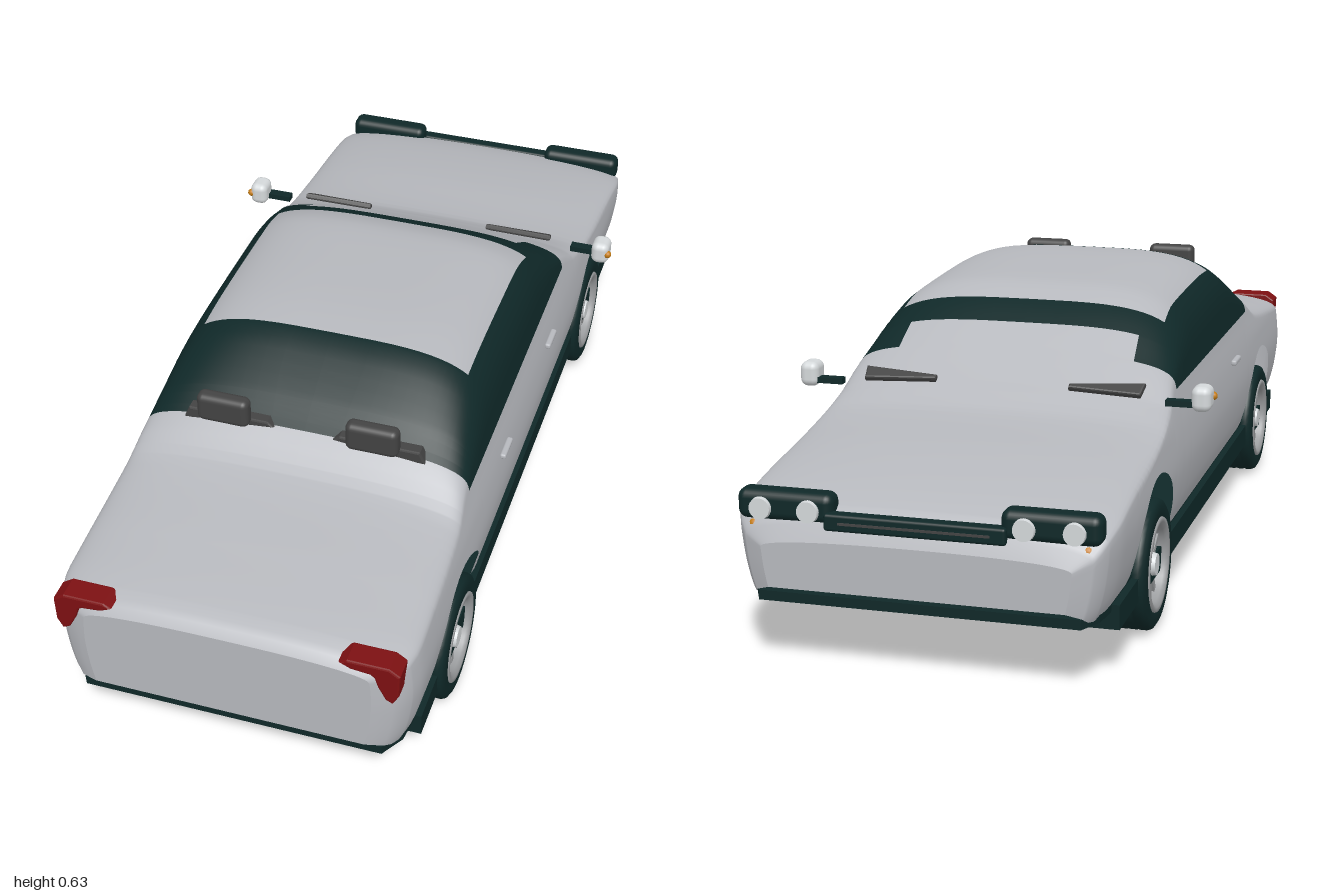
import * as THREE from 'three';
import { RoundedBoxGeometry } from 'three/addons/geometries/RoundedBoxGeometry.js';

const mat = (name, color, side = THREE.FrontSide) =>
  Object.assign(new THREE.MeshStandardMaterial({ color, side }), { name });

// Monotone cubic curve through [z, value] points
function curve(pts) {
  const n = pts.length;
  const sl = pts.slice(1).map((p, i) => (p[1] - pts[i][1]) / (p[0] - pts[i][0]));
  const tan = pts.map((_, i) => {
    if (i === 0) return sl[0];
    if (i === n - 1) return sl[n - 2];
    const a = sl[i - 1], b = sl[i];
    return a * b <= 0 ? 0 : (2 * a * b) / (a + b);
  });
  return (z) => {
    if (z <= pts[0][0]) return pts[0][1];
    if (z >= pts[n - 1][0]) return pts[n - 1][1];
    let i = 0;
    while (z > pts[i + 1][0]) i++;
    const h = pts[i + 1][0] - pts[i][0], t = (z - pts[i][0]) / h, u = 1 - t;
    return (1 + 2 * t) * u * u * pts[i][1] + t * u * u * h * tan[i]
      + t * t * (3 - 2 * t) * pts[i + 1][1] - t * t * u * h * tan[i + 1];
  };
}

const WHEELS = [0.63, -0.58], ARCH = 0.175;
const top = curve([[-1, .27], [-.985, .305], [-.95, .333], [-.85, .362], [-.7, .387], [-.5, .408], [-.42, .445],
  [-.32, .505], [-.25, .55], [-.18, .588], [-.1, .615], [0, .622], [.2, .628], [.31, .622], [.42, .572],
  [.51, .51], [.6, .455], [.8, .425], [.95, .402], [.985, .39], [1, .372]]);
const belt = curve([[-1, .25], [-.95, .3], [-.85, .325], [-.6, .36], [-.42, .4], [-.32, .44], [.51, .44],
  [.62, .4], [.85, .37], [.95, .36], [1, .345]]);
const base = curve([[-1, .17], [-.96, .145], [-.87, .15], [.87, .15], [.95, .15], [1, .17]]);
const width = curve([[-1, .31], [-.985, .345], [-.95, .368], [-.88, .378], [-.5, .38], [.5, .38], [.9, .378],
  [.95, .368], [.985, .34], [1, .3]]);
const flank = curve([[.13, .9], [.17, .95], [.23, .985], [.29, 1], [.36, .985], [.44, .94]]);
const power = curve([[-.42, 2.4], [-.2, 3.6], [.35, 3.6], [.6, 2.5]]);
const roofEdge = curve([[-.25, .27], [-.18, .315]]);

const NA = 10, NB = 8, NC = 10, HALF = NA + NB + NC;

// Body cross-section from the left sill, over the top, to the right sill
function section(z) {
  let yb = base(z);
  for (const c of WHEELS) {
    const d = ARCH * ARCH - (z - c) ** 2;
    if (d > 0) yb = Math.max(yb, 0.15 + Math.sqrt(d));
  }
  const W = width(z), ym = belt(z), h = top(z) - ym, xb = W * flank(ym), n = power(z);
  const lean = 0.08 * Math.min(1, h / 0.18);
  const split = Math.acos(Math.min(roofEdge(z) / xb, 0.89) ** (n / 2));
  const half = [];
  for (let i = 0; i < NA; i++) {
    const y = yb + (ym - yb) * i / NA;
    half.push([W * flank(y), y]);
  }
  for (let i = 0; i <= NB + NC; i++) {
    const a = i <= NB ? split * i / NB : split + (Math.PI / 2 - split) * (i - NB) / NC;
    const s = Math.sin(a) ** (2 / n);
    half.push([xb * Math.max(0, Math.cos(a)) ** (2 / n) * (1 - lean * s), ym + h * s]);
  }
  return [...half, ...half.slice(0, -1).reverse().map(([x, y]) => [-x, y])].map(([x, y]) => [x, y, z]);
}

function bufferFrom(verts, index) {
  const g = new THREE.BufferGeometry();
  g.setAttribute('position', new THREE.Float32BufferAttribute(verts.flat(), 3));
  g.setIndex(index);
  g.computeVertexNormals();
  return g;
}

// Body shell; group 0 is paint, group 1 is glass
function shellGeometry() {
  const want = [-1, 1, -.32, -.25, -.18, .31, .51, -.985, .985, -.97, .97, -.95, .95];
  for (const c of WHEELS) for (let i = 0; i <= 28; i++) want.push(c - ARCH * Math.cos(Math.PI * i / 28));
  for (let z = -0.98; z < 1; z += 0.025) want.push(z);
  const zs = [];
  for (const z of want) if (zs.every((q) => Math.abs(q - z) > 0.0009)) zs.push(z);
  zs.sort((a, b) => a - b);
  const verts = zs.flatMap(section), N = 2 * HALF + 1, paint = [], glass = [];
  for (let s = 0; s < zs.length - 1; s++) for (let i = 0; i < N - 1; i++) {
    const z = (zs[s] + zs[s + 1]) / 2, k = Math.min(i, N - 2 - i);
    const side = k >= NA && k < NA + NB, roof = k >= NA + NB;
    const dark = z > -.32 && z < .51 && (side || (roof && (z > .31 || (z > -.25 && z < -.18))));
    const a = s * N + i, c = a + N;
    (dark ? glass : paint).push(a, a + 1, c, a + 1, c + 1, c);
  }
  const g = bufferFrom(verts, [...paint, ...glass]);
  g.addGroup(0, paint.length, 0);
  g.addGroup(paint.length, glass.length, 1);
  return g;
}

// Flat panel closing one end of the shell
function endGeometry(z) {
  const p = section(z), L = p.length - 1, idx = [];
  for (let i = 0; i < HALF; i++) {
    const a = i, b = i + 1, c = L - i, d = L - i - 1;
    idx.push(...(z > 0 ? [a, b, c, b, d, c] : [a, c, b, b, c, d]));
  }
  return bufferFrom(p, idx);
}

export function createModel() {
  const car = new THREE.Group();
  car.name = 'car';
  const paint = mat('silver paint', 0xb6b8bd, THREE.DoubleSide);
  const dark = mat('dark glass and rubber', 0x0f2828, THREE.DoubleSide);
  const red = mat('red lens', 0x7d1012), amber = mat('amber lens', 0xc47c14);
  const grey = mat('dark grey trim', 0x434343), lens = mat('lamp white', 0xd4d8da);
  const metal = mat('wheel metal', 0x9c9ea0), shade = mat('wheel shade', 0x55585a);

  const add = (name, geo, m, x = 0, y = 0, z = 0, parent = car) => {
    const mesh = new THREE.Mesh(geo, m);
    mesh.name = name;
    mesh.position.set(x, y, z);
    parent.add(mesh);
    return mesh;
  };
  const rbox = (w, h, d, r) => new RoundedBoxGeometry(w, h, d, 3, r);
  const plate = (pts, s, depth) => new THREE.ExtrudeGeometry(
    new THREE.Shape(pts.map(([x, y]) => new THREE.Vector2(s * x, y))),
    { depth, bevelEnabled: true, bevelSize: 0.004, bevelThickness: 0.004, bevelSegments: 2 });

  // Body, ends and floor
  add('bodyShell', shellGeometry(), [paint, dark]);
  add('tailPanel', endGeometry(1), paint);
  add('nosePanel', endGeometry(-1), paint);
  add('floor', new THREE.BoxGeometry(0.735, 0.05, 1.75), dark, 0, 0.125, 0.005);
  const under = [];
  for (let i = 0; i <= 40; i++) {
    const z = -0.985 + 1.97 * i / 40;
    under.push(new THREE.Vector2(width(z) * 0.93, z));
  }
  const outline = new THREE.Shape([...under, ...under.map((p) => new THREE.Vector2(-p.x, p.y)).reverse()]);
  add('underside', new THREE.ExtrudeGeometry(outline, { depth: 0.02, bevelEnabled: false }).rotateX(Math.PI / 2),
    dark, 0, 0.157, 0);
  add('rearSeatBase', rbox(0.4, 0.035, 0.1, 0.012), grey, 0, 0.262, 0.51).rotation.x = -0.5;

  // Wheels
  const tyre = [[.09, -.05], [.122, -.05], [.132, -.044], [.135, -.036]];
  for (const y of [-.02, 0, .02]) tyre.push([.135, y - .004], [.129, y - .003], [.129, y + .003], [.135, y + .004]);
  tyre.push([.135, .036], [.132, .044], [.122, .05], [.1, .05], [.094, .044]);
  const lathe = (pts) => new THREE.LatheGeometry(pts.map(([x, y]) => new THREE.Vector2(x, y)), 40);
  for (const z of WHEELS) for (const s of [1, -1]) {
    const wheel = new THREE.Group();
    wheel.name = 'wheel';
    add('tyre', lathe(tyre), dark, 0, 0, 0, wheel);
    add('rim', lathe([[.1, .044], [.097, .052], [.088, .052], [.08, .044], [.077, .02]]), metal, 0, 0, 0, wheel);
    add('rimDish', new THREE.CylinderGeometry(0.09, 0.09, 0.06, 32), shade, 0, -0.008, 0, wheel);
    for (let i = 0; i < 12; i++) {
      const a = i * Math.PI / 6;
      add('spoke', new THREE.BoxGeometry(0.056, 0.012, 0.013), metal,
        0.05 * Math.cos(a), 0.028, -0.05 * Math.sin(a), wheel).rotation.y = a;
    }
    add('hub', new THREE.CylinderGeometry(0.022, 0.028, 0.025, 20), lens, 0, 0.034, 0, wheel);
    wheel.rotation.z = -s * Math.PI / 2;
    wheel.position.set(s * 0.33, 0.137, z);
    car.add(wheel);
  }

  // Grille between the headlights
  add('grille', rbox(0.36, 0.034, 0.03, 0.006), dark, 0, 0.308, -0.983);
  add('grilleBar', new THREE.BoxGeometry(0.3, 0.005, 0.004), grey, 0, 0.308, -0.998);

  for (const s of [1, -1]) {
    // Headlights and indicators
    add('headlightHousing', rbox(0.195, 0.06, 0.052, 0.018), dark, s * 0.263, 0.328, -0.962);
    for (const x of [0.213, 0.31]) {
      add('headlight', new THREE.CylinderGeometry(0.021, 0.024, 0.02, 24).rotateX(-Math.PI / 2),
        lens, s * x, 0.324, -0.986);
    }
    add('indicator', new THREE.SphereGeometry(0.016, 16, 12), amber, s * 0.33, 0.283, -0.965);

    // Tail lights wrapping the rear corners
    add('tailLight', plate([[.24, .388], [.252, .393], [.335, .393], [.354, .38], [.352, .33], [.342, .311],
      [.332, .316], [.317, .345], [.31, .368], [.3, .376], [.26, .38]], s, 0.045), red, 0, 0, 0.953);

    // Door mirrors
    add('mirrorArm', new THREE.BoxGeometry(0.06, 0.013, 0.022), dark, s * 0.386, 0.436, -0.418);
    add('mirror', rbox(0.042, 0.054, 0.055, 0.016), lens, s * 0.431, 0.448, -0.41);
    add('mirrorIndicator', new THREE.SphereGeometry(0.009, 12, 10), amber, s * 0.45, 0.449, -0.392);

    // Wipers, rear shelf trim and headrests
    const wiper = plate([[.15, .0], [.15, .005], [.3, .014], [.304, -.014]], s, 0.006);
    add('wiper', wiper.rotateX(-Math.PI / 2).rotateX(-0.55), grey, 0, 0.452, -0.41);
    add('shelfTrim', plate([[.07, .51], [.08, .516], [.25, .516], [.26, .495], [.24, .494]], s, 0.02),
      grey, 0, 0, 0.495);
    add('headrest', rbox(0.113, 0.066, 0.036, 0.014), grey, s * 0.161, 0.562, 0.547);

    // Door handles
    for (const z of [0.275, -0.133]) add('doorHandle', rbox(0.014, 0.013, 0.066, 0.005), paint, s * 0.378, 0.369, z);
  }
  return car;
}
